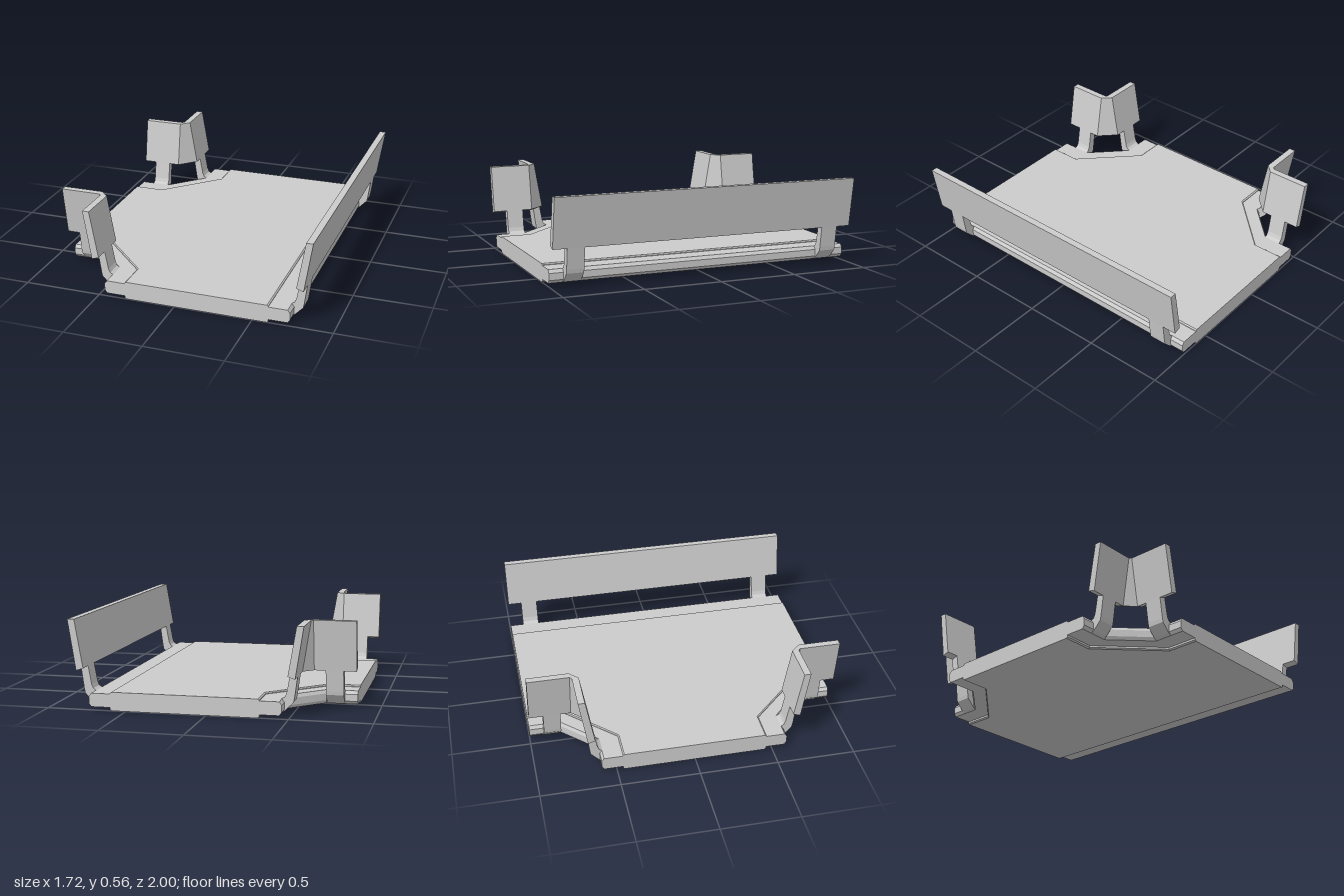
import * as THREE from 'three';

const mat = new THREE.MeshStandardMaterial({ color: 0xcccccc, flatShading: true });

// Cross-sections as [distance out from the deck edge, height]
const kerbSection = [[-0.008, 0], [0, 0.008], [0, 0.02], [0.12, 0.02], [0.135, 0.04], [0.135, 0.083],
  [0.12, 0.104], [0, 0.104], [0, 0.108], [-0.008, 0.115]];
const postSection = [[0.118, 0.02], [0.14, 0.033], [0.19, 0.085], [0.195, 0.11], [0.213, 0.24],
  [0.168, 0.255], [0.147, 0.14], [0.137, 0.116], [0.118, 0.104]];
const railSection = [[0.168, 0.255], [0.213, 0.24], [0.263, 0.555], [0.22, 0.555]];

// Sweep a section through stations; each station maps a distance to [x, z]
function sweep(name, section, stations) {
  const n = section.length, tris = [];
  const rings = stations.map(at => section.map(([d, y]) => {
    const [x, z] = at(d);
    return new THREE.Vector3(x, y, z);
  }));
  for (let i = 0; i + 1 < rings.length; i++) {
    for (let j = 0; j < n; j++) {
      const a = rings[i][j], b = rings[i][(j + 1) % n];
      const c = rings[i + 1][(j + 1) % n], d = rings[i + 1][j];
      tris.push([a, b, c], [a, c, d]);
    }
  }
  // End caps
  const first = rings[0], last = rings[rings.length - 1];
  const outline = section.map(p => new THREE.Vector2(...p));
  const ccw = !THREE.ShapeUtils.isClockWise(outline);
  for (const f of THREE.ShapeUtils.triangulateShape(outline, [])) {
    const [i, j, k] = ccw ? f : [f[0], f[2], f[1]];
    tris.push([first[i], first[k], first[j]], [last[i], last[j], last[k]]);
  }
  // Turn the faces outwards if the sweep ran the other way
  const volume = tris.reduce((v, [a, b, c]) => v + a.dot(b.clone().cross(c)), 0);
  if (volume < 0) tris.forEach(t => t.reverse());
  const geo = new THREE.BufferGeometry().setFromPoints(tris.flat());
  geo.computeVertexNormals();
  const mesh = new THREE.Mesh(geo, mat);
  mesh.name = name;
  return mesh;
}

export function createModel() {
  const model = new THREE.Group();
  model.name = 'roadJunction';

  // Stations along the straight side and around the cut corners
  const straight = z => d => [0.6 + d, z];
  const cornerZ = (z, s) => d => [-0.325 - d, s * z];
  const cornerX = (x, s) => d => [x, s * (0.46 + d)];

  // Deck slab with two cut corners
  const e = 0.008;
  const half = [[-0.86, 0.46 - e], [-0.665, 0.46 - e], [-0.325 + e, 0.8], [-0.325 + e, 1], [0.6 - e, 1]];
  const outline = [...half, ...half.map(([x, z]) => [x, -z]).reverse()];
  const deckGeo = new THREE.ExtrudeGeometry(
    new THREE.Shape(outline.map(p => new THREE.Vector2(...p))),
    { depth: 0.115, bevelEnabled: false });
  deckGeo.rotateX(Math.PI / 2).translate(0, 0.115, 0);
  const deck = new THREE.Mesh(deckGeo, mat);
  deck.name = 'deck';
  model.add(deck);

  // Straight side: kerb, long guard rail and two posts
  const side = new THREE.Group();
  side.name = 'straightSide';
  side.add(sweep('kerb', kerbSection, [straight(1), straight(-1)]));
  side.add(sweep('guardRail', railSection, [straight(1), straight(-1)]));
  for (const s of [1, -1]) {
    side.add(sweep('railPost', postSection, [straight(s * 0.8), straight(s * 0.91)]));
  }
  model.add(side);

  // Corners: bent kerb, bent guard rail and a post on each arm
  for (const s of [1, -1]) {
    const corner = new THREE.Group();
    corner.name = s > 0 ? 'frontCorner' : 'backCorner';
    corner.add(sweep('cornerKerb', kerbSection,
      [cornerZ(1, s), cornerZ(0.8, s), cornerX(-0.665, s), cornerX(-0.86, s)]));
    corner.add(sweep('cornerRail', railSection,
      [cornerZ(1, s), cornerZ(0.735, s), cornerX(-0.6, s), cornerX(-0.86, s)]));
    corner.add(sweep('cornerPost', postSection, [cornerZ(0.8, s), cornerZ(0.91, s)]));
    corner.add(sweep('cornerPost', postSection, [cornerX(-0.67, s), cornerX(-0.78, s)]));
    model.add(corner);
  }
  return model;
}
